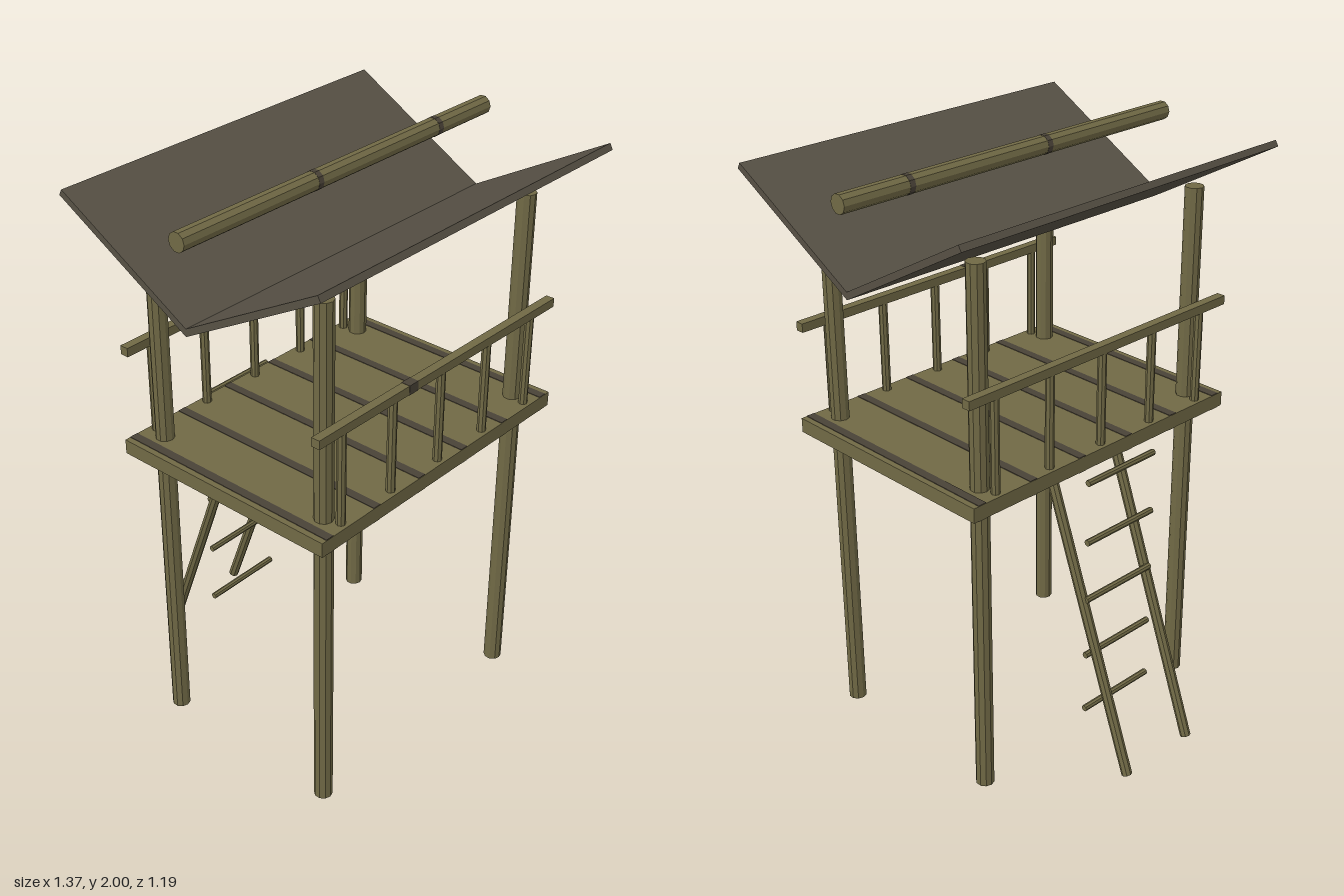
import * as THREE from 'three';

export function createModel() {
  const model = new THREE.Group();
  model.name = 'watchtower';

  const material = (name, color) => {
    const m = new THREE.MeshStandardMaterial({ color, flatShading: true });
    m.name = name;
    return m;
  };
  const wood = material('olive wood', 0x706945);
  const roofing = material('dark roof boards', 0x565044);
  const seam = material('dark seam', 0x494237);

  const add = (name, geometry, mat, x, y, z) => {
    const mesh = new THREE.Mesh(geometry, mat);
    mesh.name = name;
    mesh.position.set(x, y, z);
    model.add(mesh);
    return mesh;
  };
  const box = (name, w, h, d, mat, x, y, z) =>
    add(name, new THREE.BoxGeometry(w, h, d), mat, x, y, z);
  const pole = (name, radius, length, sides, mat, x, y, z) =>
    add(name, new THREE.CylinderGeometry(radius, radius, length, sides), mat, x, y, z);

  const midZ = 0.095; // the tower sits forward of the ladder

  // Platform with dark seams between the planks
  box('platform', 1.13, 0.05, 0.83, wood, 0, 1.085, midZ);
  for (let i = 0; i < 6; i++) {
    const x = -0.53 + i * 0.212;
    for (const y of [1.1105, 1.0595]) box('plankSeam', 0.03, 0.003, 0.828, seam, x, y, midZ);
  }

  // Corner posts
  for (const x of [-0.468, 0.468]) {
    for (const side of [-1, 1]) pole('post', 0.031, 1.835, 10, wood, x, 0.9175, midZ + side * 0.335);
  }

  // Front and back railings
  for (const side of [-1, 1]) {
    const z = midZ + side * 0.389;
    box('handrail', 1.13, 0.03, 0.03, wood, 0, 1.44, z);
    for (let i = -2; i <= 2; i++) pole('baluster', 0.015, 0.32, 8, wood, i * 0.227, 1.27, z);
  }
  box('handrailKnot', 0.04, 0.032, 0.032, seam, -0.15, 1.44, midZ + 0.389);

  // Two roof slabs meeting in a valley
  const pitch = Math.atan2(0.28, 0.5);
  const slabLength = 0.573;
  const slabThickness = 0.022;
  for (const side of [-1, 1]) {
    const wing = new THREE.Group();
    wing.name = 'roofWing';
    wing.position.set(0, 1.675, midZ);
    wing.rotation.x = -side * pitch;
    const slab = new THREE.Mesh(new THREE.BoxGeometry(1.334, slabThickness, slabLength), roofing);
    slab.name = 'roofSlab';
    slab.position.set(0, slabThickness / 2, side * slabLength / 2);
    wing.add(slab);
    model.add(wing);
  }

  // Ridge pole floating above the valley
  pole('ridgePole', 0.031, 1.366, 10, wood, 0, 1.969, midZ - 0.003).rotation.z = Math.PI / 2;
  for (const x of [-0.13, 0.43]) {
    pole('ridgeKnot', 0.0318, 0.02, 10, seam, x, 1.969, midZ - 0.003).rotation.z = Math.PI / 2;
  }

  // Leaning ladder rails with a vertical row of rungs
  const lean = Math.atan2(0.38, 1.04);
  for (const x of [-0.147, 0.147]) {
    pole('ladderRail', 0.018, 1.125, 8, wood, x, 0.57, -0.388).rotation.x = lean;
  }
  for (let i = 0; i < 5; i++) {
    pole('ladderRung', 0.011, 0.3, 8, wood, 0, 0.205 + i * 0.2135, -0.385).rotation.z = Math.PI / 2;
  }

  return model;
}
